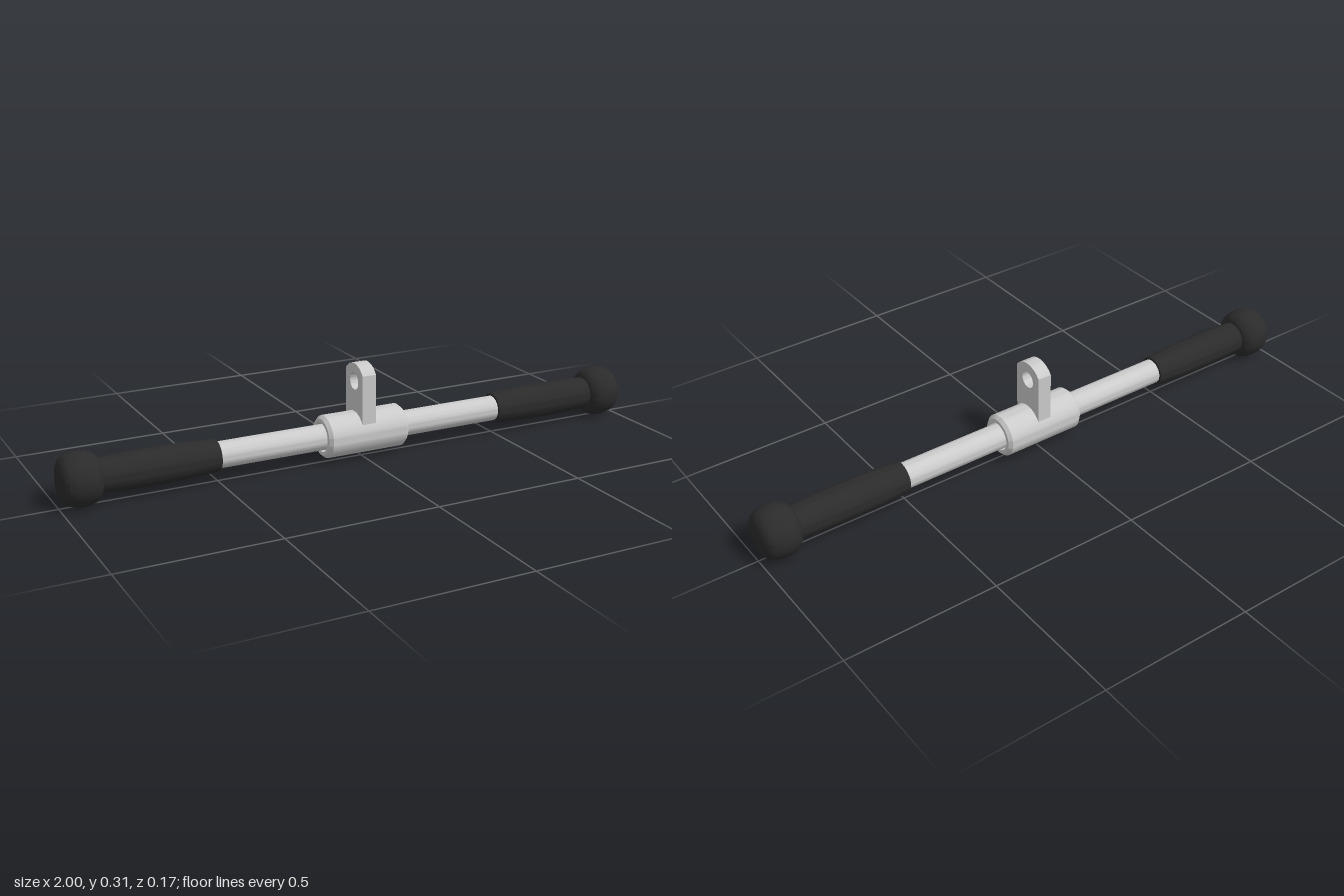
import * as THREE from 'three';
import { toCreasedNormals } from 'three/addons/utils/BufferGeometryUtils.js';

const AXIS_Y = 0.085;
const steel = new THREE.MeshStandardMaterial({ color: 0xcccccc });
const rubber = new THREE.MeshStandardMaterial({ color: 0x2b2b2b });

// Turned part lying along x; profile points are [radius, x] with x increasing
function turned(name, profile, material, crease = 0.5) {
  const points = profile.map(([r, x]) => new THREE.Vector2(r, x));
  const geometry = toCreasedNormals(new THREE.LatheGeometry(points, 48), crease);
  geometry.rotateZ(-Math.PI / 2);
  const mesh = new THREE.Mesh(geometry, material);
  mesh.name = name;
  return mesh;
}

// Smooth profile through a few [radius, x] points
function smooth(points, count) {
  const curve = new THREE.SplineCurve(points.map(([r, x]) => new THREE.Vector2(r, x)));
  return curve.getPoints(count).map((p) => [Math.max(p.x, 0), p.y]);
}

// Attachment plate with domed top and eye hole
function createEyePlate() {
  const w = 0.058, shoulder = 0.285, top = 0.315, thickness = 0.048;
  const rise = top - shoulder;
  const radius = (w * w + rise * rise) / (2 * rise);
  const angle = Math.asin(w / radius);
  const shape = new THREE.Shape();
  shape.moveTo(-w, 0.115);
  shape.lineTo(w, 0.115);
  shape.lineTo(w, shoulder);
  shape.absarc(0, top - radius, radius, Math.PI / 2 - angle, Math.PI / 2 + angle, false);
  shape.closePath();
  const hole = new THREE.Path();
  hole.absarc(0, 0.255, 0.028, 0, Math.PI * 2, true);
  shape.holes.push(hole);
  const geometry = new THREE.ExtrudeGeometry(shape, { depth: thickness, bevelEnabled: false, curveSegments: 32 });
  geometry.translate(0, 0, -thickness / 2);
  geometry.rotateY(Math.PI / 2);
  const mesh = new THREE.Mesh(toCreasedNormals(geometry, 0.5), steel);
  mesh.name = 'eyePlate';
  return mesh;
}

export function createModel() {
  const model = new THREE.Group();
  model.name = 'cableBar';

  // Steel rod running the full length
  const rod = turned('rod', [[0, -0.9], [0.042, -0.9], [0.042, 0.9], [0, 0.9]], steel);

  // Central sleeve: bored tube with chamfered ends
  const sleeve = turned('sleeve', [
    [0.048, -0.143], [0.06, -0.143], [0.07, -0.132],
    [0.07, 0.132], [0.06, 0.143], [0.048, 0.143], [0.048, -0.143],
  ], steel);

  // Slightly bulged grip and rounded end knob, one pair per side
  const gripProfile = [
    [0.041, 0.5], [0.05, 0.5],
    ...smooth([[0.051, 0.503], [0.056, 0.59], [0.058, 0.69], [0.057, 0.78], [0.053, 0.89]], 20),
  ];
  const knobProfile = [
    [0, 0.872],
    ...smooth([
      [0.045, 0.872], [0.064, 0.879], [0.079, 0.898], [0.084, 0.928], [0.081, 0.958],
      [0.07, 0.982], [0.05, 0.994], [0.025, 0.999], [0, 1],
    ], 32),
  ];
  for (const [side, turn] of [['left', 0], ['right', Math.PI]]) {
    const handle = new THREE.Group();
    handle.name = side + 'Handle';
    handle.add(turned(side + 'Grip', gripProfile, rubber), turned(side + 'Knob', knobProfile, rubber, 0.7));
    handle.rotation.y = turn;
    handle.position.y = AXIS_Y;
    model.add(handle);
  }

  rod.position.y = sleeve.position.y = AXIS_Y;
  model.add(rod, sleeve, createEyePlate());
  return model;
}
